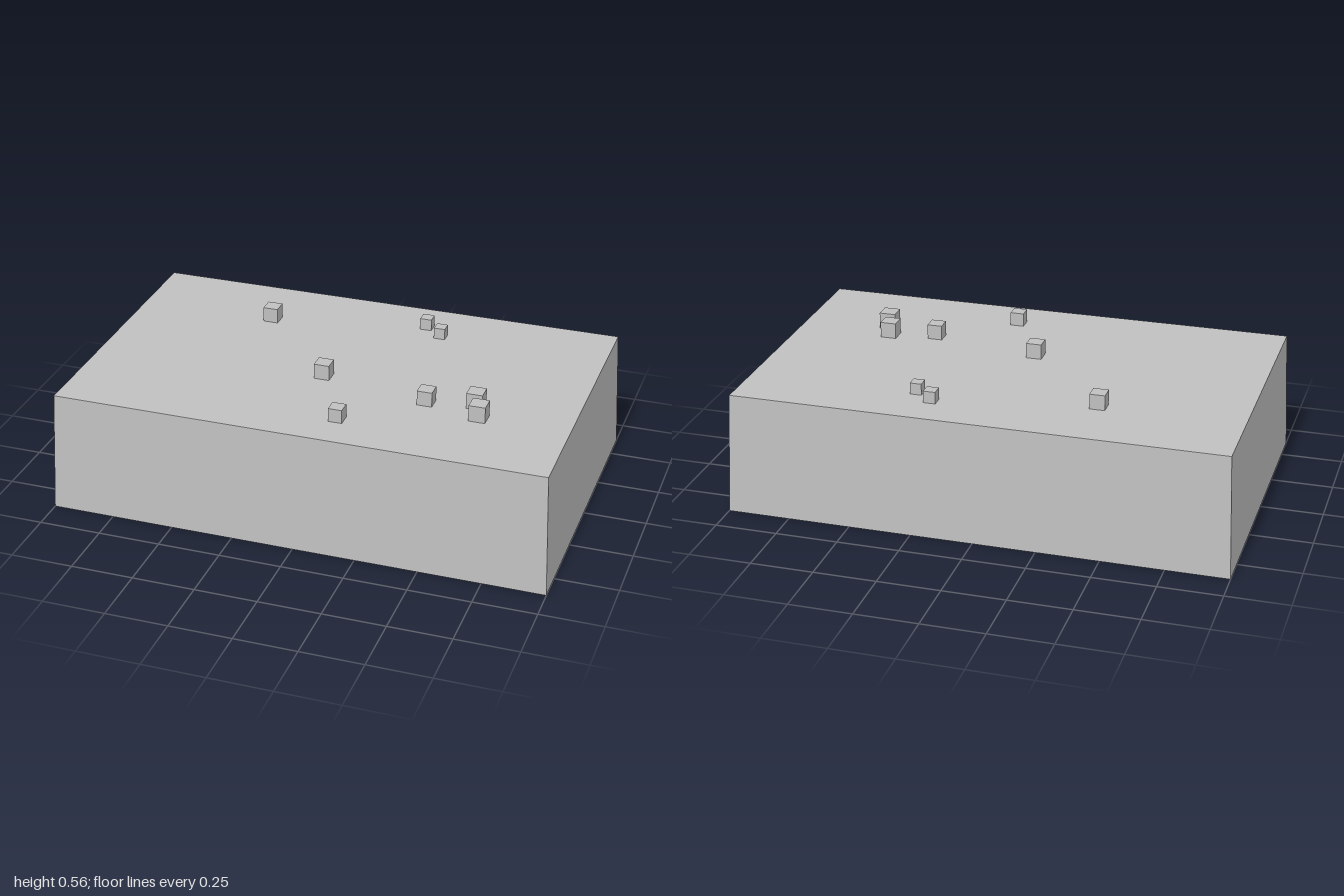
import * as THREE from 'three';

const HEIGHT = 0.49;

// Box tapered towards its top, with the underside left open
function openTaperedBox(bottomX, bottomZ, topX, topZ, height) {
  const geo = new THREE.BoxGeometry(2, height, 2).translate(0, height / 2, 0);
  const p = geo.attributes.position;
  for (let i = 0; i < p.count; i++) {
    const top = p.getY(i) > height / 2;
    p.setX(i, p.getX(i) * (top ? topX : bottomX));
    p.setZ(i, p.getZ(i) * (top ? topZ : bottomZ));
  }
  // The box faces run +x, -x, +y, -y, +z, -z with six indices each
  const index = Array.from(geo.index.array);
  index.splice(18, 6);
  geo.setIndex(index);
  geo.clearGroups();
  geo.computeVertexNormals();
  return geo;
}

export function createModel() {
  const group = new THREE.Group();
  const grey = new THREE.MeshStandardMaterial({ color: 0xc0c0c0, side: THREE.DoubleSide });
  grey.name = 'light grey';

  // Hollow shell, open below
  const shell = new THREE.Mesh(openTaperedBox(1, 0.62, 0.98, 0.6, HEIGHT), grey);
  shell.name = 'shell';
  group.add(shell);

  // Small cubes scattered on the top: x, z, size
  const cubes = [
    [-0.412, -0.306, 0.061],
    [0.217, -0.433, 0.048],
    [0.293, -0.37, 0.046],
    [-0.045, 0.11, 0.062],
    [0.4, 0.193, 0.06],
    [0.588, 0.157, 0.064],
    [0.118, 0.428, 0.055],
    [0.624, 0.251, 0.066],
  ];
  cubes.forEach(([x, z, size], i) => {
    const cube = new THREE.Mesh(new THREE.BoxGeometry(size, size, size), grey);
    cube.position.set(x, HEIGHT + size / 2, z);
    cube.name = `cube${i + 1}`;
    group.add(cube);
  });

  return group;
}
